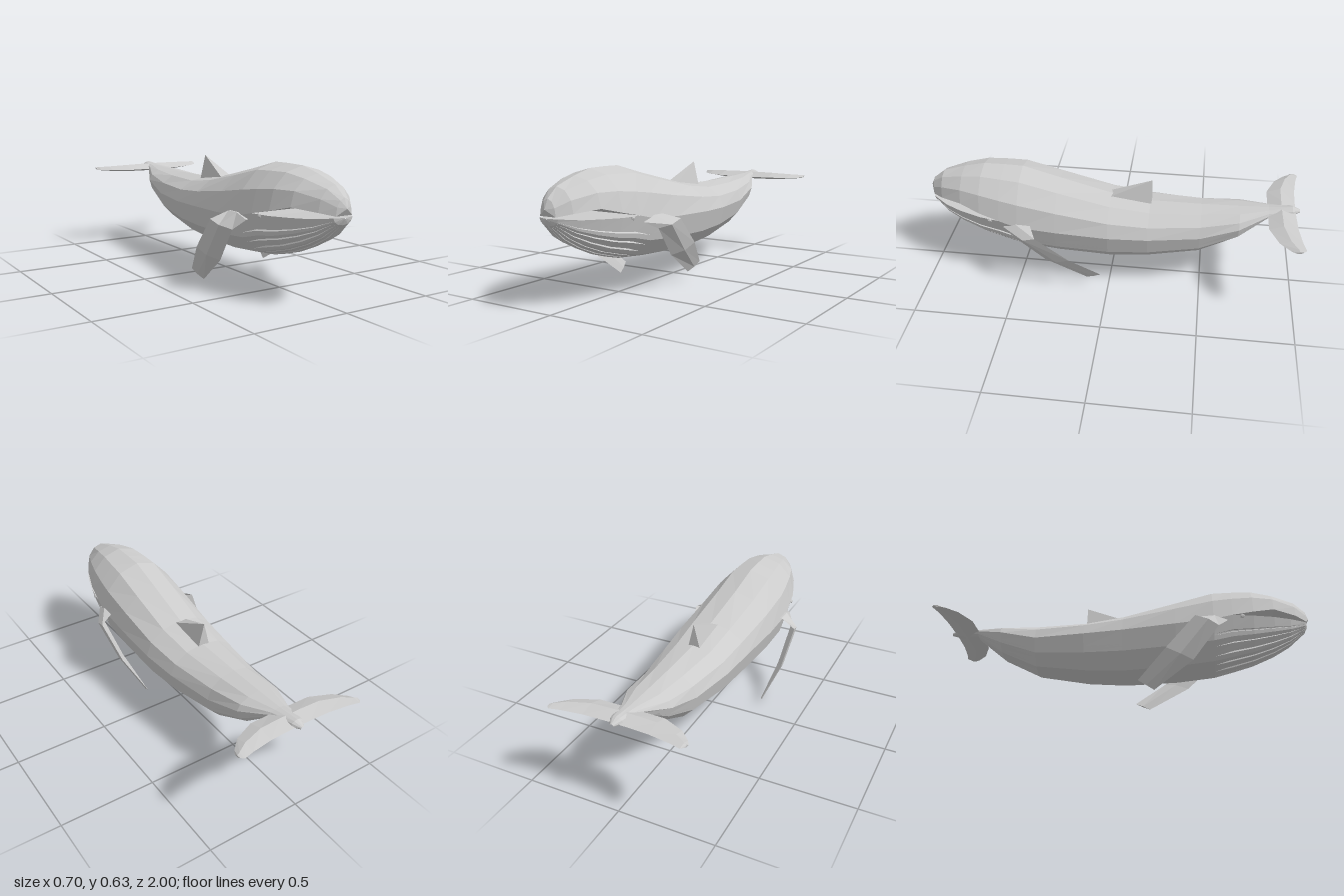
import * as THREE from 'three';

const V = (x, y, z) => new THREE.Vector3(x, y, z);
const mat = new THREE.MeshStandardMaterial({ color: 0xcccccc, flatShading: true });
const thinMat = new THREE.MeshStandardMaterial({ color: 0xcccccc, flatShading: true, side: THREE.DoubleSide });

// Skin a list of equal-length rings of points
function loft(name, rings, { closed = false, caps = false, material = mat } = {}) {
  const n = rings[0].length, idx = [];
  for (let i = 0; i < rings.length - 1; i++) {
    for (let j = 0; j < (closed ? n : n - 1); j++) {
      const a = i * n + j, b = i * n + (j + 1) % n;
      idx.push(a, b, a + n, b, b + n, a + n);
    }
  }
  if (caps) {
    const e = (rings.length - 1) * n;
    for (let k = 1; k < n - 1; k++) idx.push(0, k + 1, k, e, e + k, e + k + 1);
  }
  let geo = new THREE.BufferGeometry().setFromPoints(rings.flat());
  geo.setIndex(idx);
  geo = geo.toNonIndexed();
  geo.computeVertexNormals();
  const mesh = new THREE.Mesh(geo, material);
  mesh.name = name;
  return mesh;
}

// The body bends slightly sideways along its length
const midX = z => THREE.MathUtils.lerp(0.005, -0.016, THREE.MathUtils.clamp(z / 0.4, 0, 1));

// Point on half of a 12-sided section; a = -90..90 degrees, 0 is the crest (or keel)
function sectionPoint([z, hw, edge, crest], a, sign, scale = 1) {
  const k = Math.min(Math.floor(a / 30), 2), t = a / 30 - k;
  const at = (f, d) => f(THREE.MathUtils.degToRad(d));
  const s = THREE.MathUtils.lerp(at(Math.sin, k * 30), at(Math.sin, k * 30 + 30), t);
  const c = THREE.MathUtils.lerp(at(Math.cos, k * 30), at(Math.cos, k * 30 + 30), t);
  return V(midX(z) + sign * hw * s * scale, edge + (crest - edge) * c * scale, z);
}

// Stations: z, half width, side edge y, crest or keel y
const back = [
  [1.0, 0.002, 0.47, 0.474], [0.98, 0.046, 0.438, 0.518], [0.92, 0.095, 0.45, 0.567],
  [0.8, 0.155, 0.463, 0.605], [0.69, 0.192, 0.435, 0.631], [0.58, 0.213, 0.41, 0.632],
  [0.48, 0.226, 0.385, 0.63], [0.28, 0.224, 0.372, 0.578], [0, 0.212, 0.362, 0.512],
  [-0.21, 0.195, 0.358, 0.482], [-0.48, 0.155, 0.365, 0.482], [-0.68, 0.128, 0.42, 0.487],
  [-0.83, 0.055, 0.47, 0.492], [-0.95, 0.034, 0.482, 0.505], [-0.99, 0.01, 0.482, 0.49],
];
const belly = [
  [0.99, 0.002, 0.43, 0.425], [0.975, 0.055, 0.43, 0.395], [0.89, 0.115, 0.42, 0.32],
  [0.8, 0.157, 0.416, 0.268], [0.69, 0.192, 0.411, 0.222], [0.58, 0.213, 0.41, 0.19],
  [0.48, 0.226, 0.385, 0.166], [0.28, 0.224, 0.372, 0.147], [0, 0.212, 0.362, 0.144],
  [-0.21, 0.195, 0.358, 0.16], [-0.48, 0.155, 0.365, 0.208], [-0.68, 0.128, 0.42, 0.315],
  [-0.83, 0.055, 0.47, 0.445], [-0.95, 0.034, 0.482, 0.465], [-0.99, 0.01, 0.482, 0.474],
];

// Thin tapering fin with a diamond section; stations: [leading edge, trailing edge, half thickness]
function blade(name, stations) {
  const mids = stations.map(([l, t]) => l.clone().lerp(t, 0.5));
  const rings = stations.map(([l, t, th], i) => {
    const span = mids[Math.min(i + 1, mids.length - 1)].clone().sub(mids[Math.max(i - 1, 0)]);
    const n = t.clone().sub(l).cross(span).normalize().multiplyScalar(th);
    return [l, mids[i].clone().add(n), t, mids[i].clone().sub(n)];
  });
  return loft(name, rings, { closed: true, caps: true });
}

export function createModel() {
  const whale = new THREE.Group();
  whale.name = 'whale';

  // Back and upper jaw
  const steps = [-90, -60, -30, 0, 30, 60, 90];
  whale.add(loft('back', back.map(s => steps.map(a => sectionPoint(s, a, 1)))));

  // Belly and lower jaw, with throat pleats cut as narrow grooves
  const samples = steps.map(a => [a, 0]);
  for (const g of [8, 22, 38, 52, 68]) {
    for (const a of [-g, g]) samples.push([a - 1.6, 0], [a - 0.8, 1], [a + 0.8, 1], [a + 1.6, 0]);
  }
  samples.sort((p, q) => p[0] - q[0]);
  whale.add(loft('belly', belly.map(s => samples.map(([a, groove]) =>
    sectionPoint(s, a, -1, groove && s[0] > 0.5 && s[0] < 0.97 ? 0.95 : 1)))));

  // Mouth surfaces
  const mouth = (name, list, drop) => whale.add(loft(name,
    list.filter(s => s[0] > 0.5).map(s => [-90, 90].map(a => sectionPoint(s, a, 1))),
    { material: thinMat }));
  mouth('palate', back);
  mouth('mouthFloor', belly);

  // Flippers, the right one hanging a little lower and further forward
  const flipper = [
    [[0.15, 0.385, 0.54], [0.15, 0.4, 0.42], 0.012],
    [[0.22, 0.375, 0.555], [0.225, 0.4, 0.41], 0.016],
    [[0.255, 0.34, 0.49], [0.305, 0.378, 0.37], 0.018],
    [[0.225, 0.18, 0.335], [0.28, 0.23, 0.2], 0.015],
    [[0.19, 0.05, 0.12], [0.215, 0.095, 0.04], 0.004],
  ];
  for (const side of [1, -1]) {
    const place = ([x, y, z], t) => side > 0
      ? V(-0.02 + x, y, z)
      : V(-0.02 - x - 0.03 * t, y - 0.05 * t, z + 0.045 * t);
    const drops = [0, 0, 0.3, 0.7, 1];
    whale.add(blade(side > 0 ? 'leftFlipper' : 'rightFlipper',
      flipper.map(([l, t, th], i) => [place(l, drops[i]), place(t, drops[i]), th])));
  }

  // Tail flukes: x, leading z, trailing z, half thickness
  const half = [
    [0.35, -0.95, -0.985, 0.006], [0.335, -0.925, -1.0, 0.01], [0.28, -0.873, -0.987, 0.014],
    [0.17, -0.826, -0.972, 0.02], [0.06, -0.825, -0.968, 0.022],
  ];
  const flukes = [...half.map(([x, ...r]) => [-x, ...r]), ...half.slice().reverse()];
  whale.add(blade('tailFlukes', flukes.map(([x, zl, zt, th]) =>
    [V(x, 0.47, zl), V(x, 0.48, zt), th])));

  // Dorsal fin: a pyramid with its peak above the rear edge
  const w = 0.034, peak = V(0, 0.605, -0.215);
  const base = [V(-w, 0.465, -0.215), V(w, 0.465, -0.215), V(w, 0.5, 0.015), V(-w, 0.5, 0.015)];
  base.push(base[0]);
  whale.add(loft('dorsalFin', [base, base.map(() => peak)], { material: thinMat }));

  // Eyes
  for (const side of [1, -1]) {
    const eye = new THREE.Mesh(new THREE.IcosahedronGeometry(0.013, 0), mat);
    eye.name = side > 0 ? 'leftEye' : 'rightEye';
    eye.scale.x = 0.6;
    eye.position.set(midX(0.63) + side * 0.205, 0.405, 0.63);
    whale.add(eye);
  }
  return whale;
}
